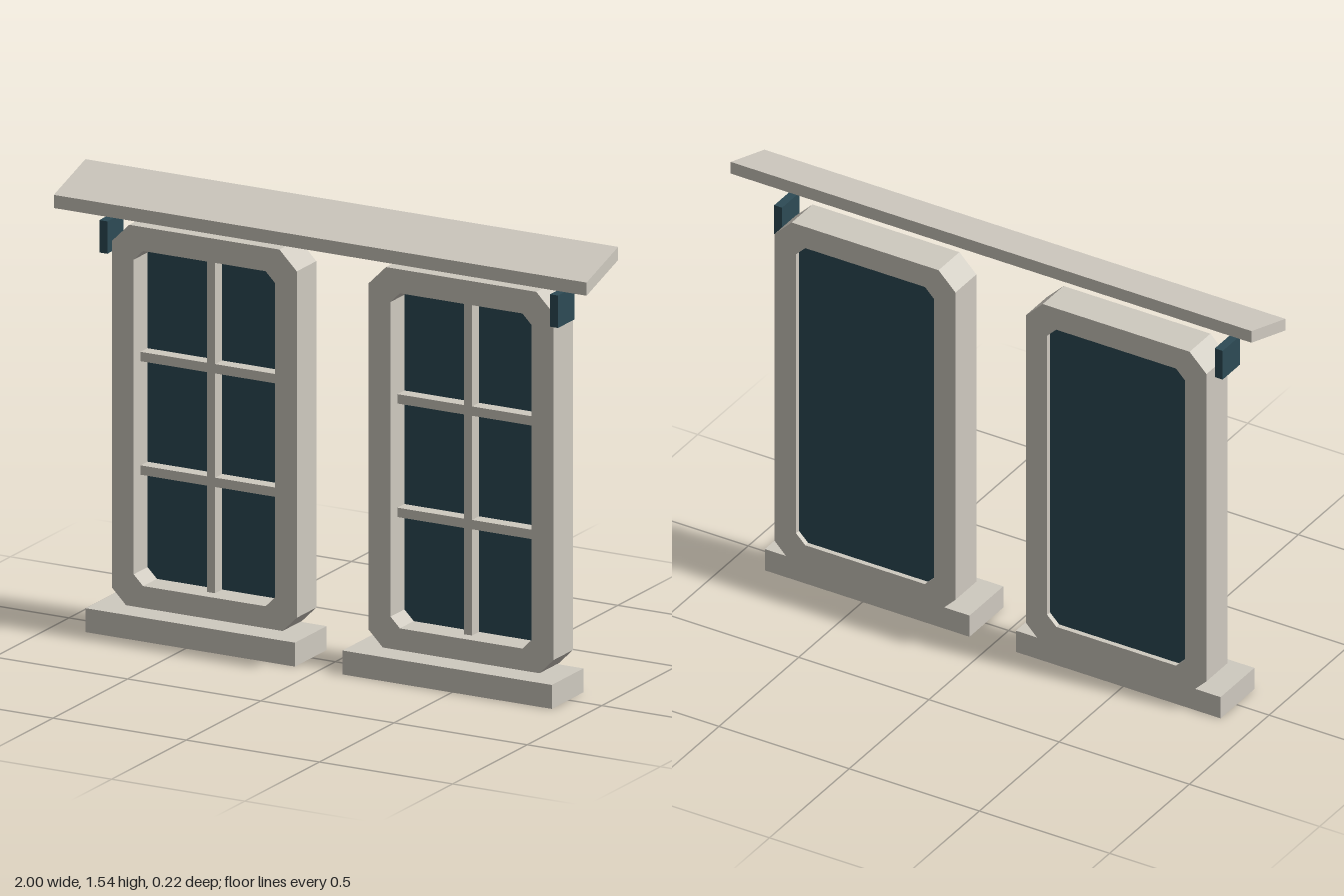
import * as THREE from 'three';

const stone = new THREE.MeshStandardMaterial({ color: 0xcfcac0 });
stone.name = 'pale stone';
const teal = new THREE.MeshStandardMaterial({ color: 0x2d4b55 });
teal.name = 'dark teal';

// Rectangle with clipped corners, centred on x = 0
function clippedRect(Type, halfW, y0, y1, c) {
  const points = [
    [-halfW + c, y0], [halfW - c, y0], [halfW, y0 + c], [halfW, y1 - c],
    [halfW - c, y1], [-halfW + c, y1], [-halfW, y1 - c], [-halfW, y0 + c],
  ].map(([x, y]) => new THREE.Vector2(x, y));
  return new Type(points);
}

function addMesh(parent, name, geometry, material) {
  const mesh = new THREE.Mesh(geometry, material);
  mesh.name = name;
  parent.add(mesh);
  return mesh;
}

// Box given by its limits on each axis
function addBox(parent, name, material, [x0, x1], [y0, y1], [z0, z1]) {
  const geometry = new THREE.BoxGeometry(x1 - x0, y1 - y0, z1 - z0);
  geometry.translate((x0 + x1) / 2, (y0 + y1) / 2, (z0 + z1) / 2);
  return addMesh(parent, name, geometry, material);
}

function extrude(shape, z0, z1) {
  const geometry = new THREE.ExtrudeGeometry(shape, { depth: z1 - z0, bevelEnabled: false });
  return geometry.translate(0, 0, z0);
}

function createWindow(name) {
  const group = new THREE.Group();
  group.name = name;

  // Frame with clipped corners and a matching opening
  const outline = clippedRect(THREE.Shape, 0.347, 0.07, 1.387, 0.065);
  outline.holes.push(clippedRect(THREE.Path, 0.265, 0.157, 1.305, 0.035));
  addMesh(group, 'frame', extrude(outline, -0.113, 0.018), stone);

  // Glass set near the back of the frame
  const pane = clippedRect(THREE.Shape, 0.268, 0.154, 1.308, 0.035);
  addMesh(group, 'glass', extrude(pane, -0.095, -0.075), teal);

  // Glazing bars
  const barZ = [-0.08, -0.028];
  addBox(group, 'uprightBar', stone, [-0.015, 0.015], [0.157, 1.305], barZ);
  for (const y of [0.537, 0.926]) {
    addBox(group, 'crossBar', stone, [-0.265, 0.265], [y - 0.016, y + 0.016], barZ);
  }

  // Sill
  addBox(group, 'sill', stone, [-0.393, 0.393], [0, 0.082], [-0.1, 0.112]);
  return group;
}

export function createModel() {
  const model = new THREE.Group();
  model.name = 'windowPair';

  for (const side of [-1, 1]) {
    const unit = createWindow(side > 0 ? 'leftWindow' : 'rightWindow');
    unit.position.x = side * 0.482;
    model.add(unit);

    // Bracket on the outer top corner
    const bracket = addBox(model, 'bracket', teal, [-0.015, 0.015], [1.285, 1.396], [-0.064, 0.045]);
    bracket.position.x = side * 0.846;
  }

  // Sloping canopy with upright front and back edges
  const canopy = new THREE.BoxGeometry(2, 0.045, 0.212);
  const pos = canopy.attributes.position;
  for (let i = 0; i < pos.count; i++) pos.setY(i, pos.getY(i) - pos.getZ(i) * 0.31);
  canopy.translate(0, 1.487, -0.004);
  canopy.computeVertexNormals();
  addMesh(model, 'canopy', canopy, stone);

  return model;
}
